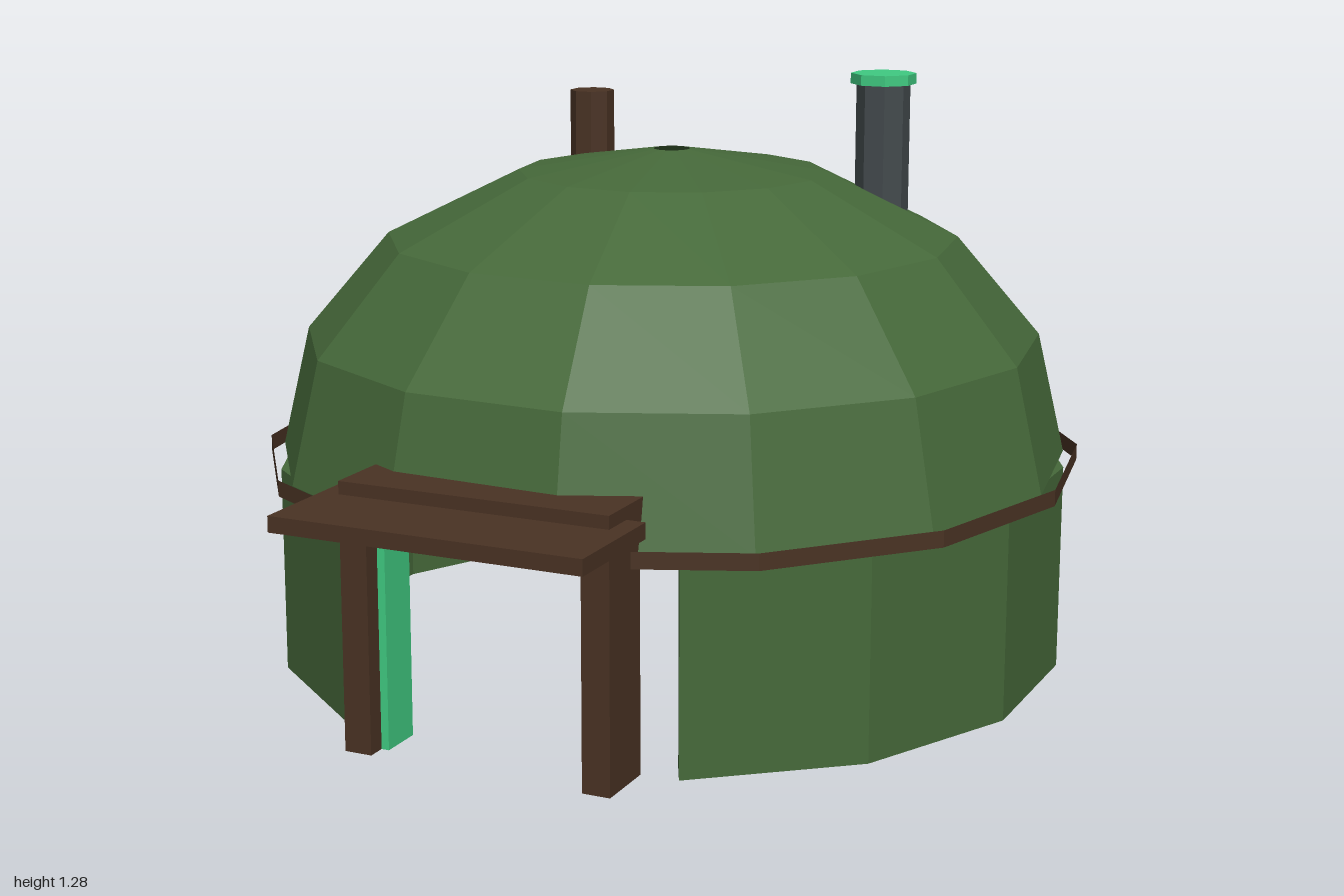
import * as THREE from 'three';

const SIDES = 14;
const STEP = (Math.PI * 2) / SIDES;
const TWIST = 0.168; // dome and band are turned slightly against the wall
const CENTER_Z = -0.11;

export function createModel() {
  const model = new THREE.Group();
  model.name = 'domedHut';

  const mat = (name, color, side = THREE.FrontSide) => {
    const m = new THREE.MeshStandardMaterial({ color, side, flatShading: true });
    m.name = name;
    return m;
  };
  const green = mat('mossGreen', 0x46693a, THREE.DoubleSide);
  const brown = mat('darkWood', 0x4a3324, THREE.DoubleSide);
  const grey = mat('pipeGrey', 0x434a4d);
  const mint = mat('mintGreen', 0x40cb82);

  const add = (name, geometry, material, x = 0, y = 0, z = 0) => {
    const flat = geometry.index ? geometry.toNonIndexed() : geometry;
    flat.computeVertexNormals();
    const mesh = new THREE.Mesh(flat, material);
    mesh.name = name;
    mesh.position.set(x, y, z);
    model.add(mesh);
    return mesh;
  };
  // Box given by its lower and upper corners
  const box = (name, material, [x0, y0, z0], [x1, y1, z1]) =>
    add(name, new THREE.BoxGeometry(x1 - x0, y1 - y0, z1 - z0), material,
      (x0 + x1) / 2, (y0 + y1) / 2, (z0 + z1) / 2);
  // Upright post between two heights
  const post = (name, material, r, x, z, y0, y1, turn = 0) =>
    add(name, new THREE.CylinderGeometry(r, r, y1 - y0, 8, 1, false, turn), material,
      x, (y0 + y1) / 2, z);

  // Thick ring wall with two segments left out for the doorway
  const outline = [];
  for (let i = 1; i < SIDES; i++) outline.push([0.867, i * STEP]);
  for (let i = SIDES - 1; i > 0; i--) outline.push([0.8, i * STEP]);
  const wallShape = new THREE.Shape(
    outline.map(([r, a]) => new THREE.Vector2(r * Math.sin(a), -r * Math.cos(a))));
  const wall = new THREE.ExtrudeGeometry(wallShape, { depth: 0.45, bevelEnabled: false });
  wall.rotateX(-Math.PI / 2);
  add('wall', wall, green, 0, 0, CENTER_Z);

  // Open dome shell with a small smoke hole at the top
  const profile = [[0.87, 0.45], [0.808, 0.715], [0.625, 0.93], [0.335, 1.072], [0.04, 1.12]]
    .map(([r, y]) => new THREE.Vector2(r, y));
  add('dome', new THREE.LatheGeometry(profile, SIDES, TWIST), green, 0, 0, CENTER_Z);

  // Thin band around the eaves
  add('eavesBand', new THREE.CylinderGeometry(0.9, 0.9, 0.035, SIDES, 1, true, TWIST),
    brown, 0, 0.448, CENTER_Z);

  // Door frame with an inner trim
  for (const s of [-1, 1]) {
    const side = s > 0 ? 'left' : 'right';
    const span = (a, b) => (s > 0 ? [a, b] : [-b, -a]);
    const [p0, p1] = span(0.235, 0.295);
    box(side + 'DoorPost', brown, [p0, 0, 0.675], [p1, 0.5, 0.81]);
    const [t0, t1] = span(0.218, 0.235);
    box(side + 'DoorTrim', mint, [t0, 0, 0.675], [t1, 0.5, 0.77]);
  }
  box('doorTrimTop', mint, [-0.218, 0.44, 0.675], [0.218, 0.5, 0.77]);

  // Lintel whose back leans towards the dome
  const lintelShape = new THREE.Shape([[-0.81, 0.5], [-0.672, 0.5], [-0.662, 0.56], [-0.81, 0.56]]
    .map(([x, y]) => new THREE.Vector2(x, y)));
  const lintel = new THREE.ExtrudeGeometry(lintelShape, { depth: 0.59, bevelEnabled: false });
  lintel.rotateY(Math.PI / 2);
  add('lintel', lintel, brown, -0.295, 0, 0);

  box('awning', brown, [-0.335, 0.5, 0.735], [0.335, 0.533, 1.0]);

  // Chimneys
  post('woodenChimney', brown, 0.051, -0.347, -0.42, 0.92, 1.2, Math.PI / 8);
  post('stovePipe', grey, 0.059, 0.39, -0.373, 0.9, 1.255, Math.PI / 8);
  post('stovePipeCap', mint, 0.072, 0.39, -0.373, 1.253, 1.276, Math.PI / 8);

  return model;
}
